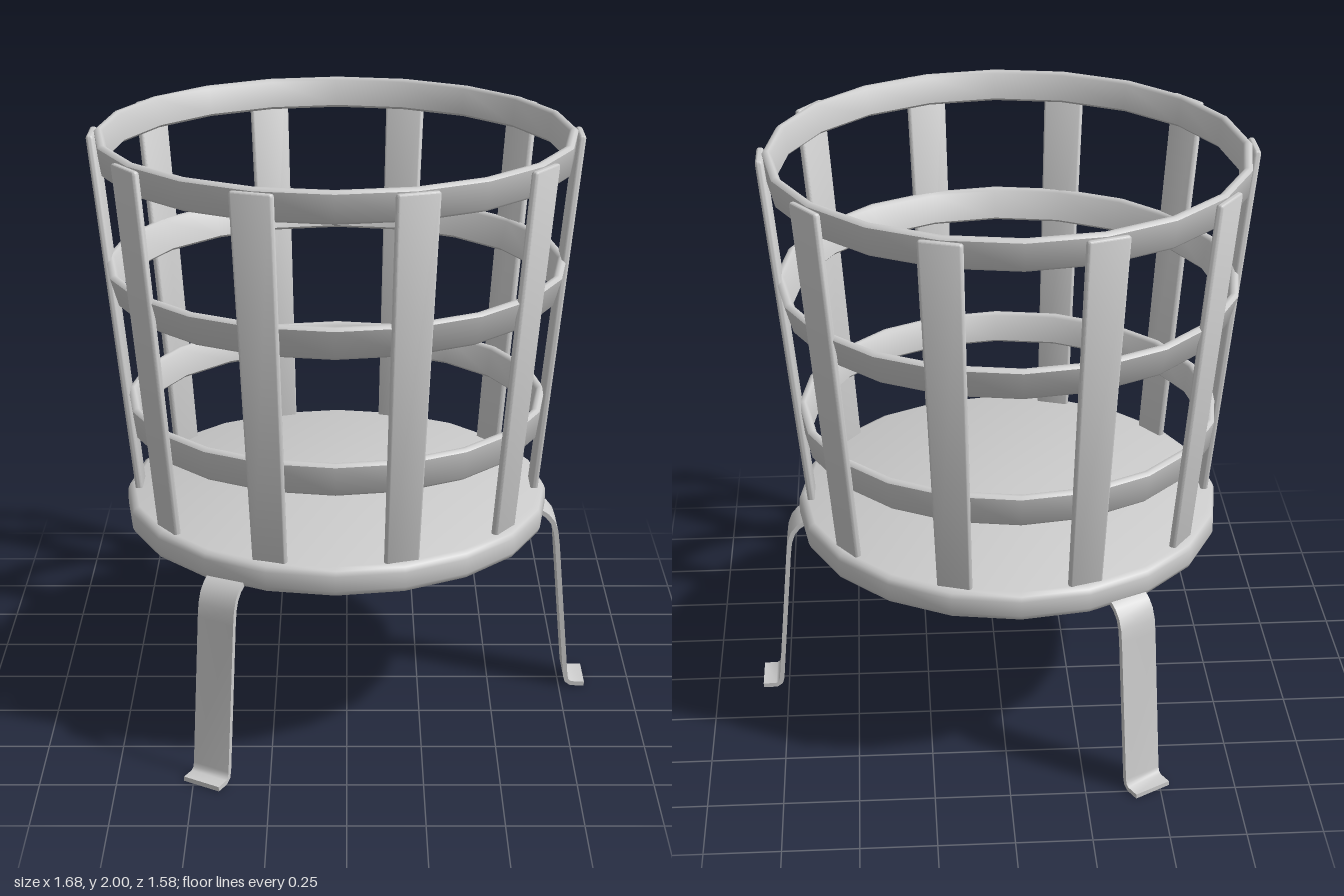
import * as THREE from 'three';
import { toCreasedNormals } from 'three/addons/utils/BufferGeometryUtils.js';
import { RoundedBoxGeometry } from 'three/addons/geometries/RoundedBoxGeometry.js';

const SIDES = 20;
const AXIS_X = -0.035; // the single side leg shifts the basket off centre
const material = new THREE.MeshStandardMaterial({ color: 0xcccccc });

function addMesh(parent, name, geometry) {
  const mesh = new THREE.Mesh(geometry, material);
  mesh.name = name;
  parent.add(mesh);
  return mesh;
}

function lathe(points) {
  const profile = points.map(([r, y]) => new THREE.Vector2(r, y));
  return toCreasedNormals(new THREE.LatheGeometry(profile, SIDES), 0.85);
}

// Flat hoop with softened edges, leaning outward with the basket
function hoopGeometry(y0, y1, r0, r1, t = 0.03) {
  const b = 0.009;
  return lathe([
    [r0 - b, y0], [r0, y0 + b], [r1, y1 - b], [r1 - b, y1],
    [r1 - t + b, y1], [r1 - t, y1 - b], [r0 - t, y0 + b], [r0 - t + b, y0], [r0 - b, y0],
  ]);
}

// Upright slat: a rounded bar tapered and leaned by height
function slatGeometry() {
  const y0 = 0.74, y1 = 1.99, t = 0.025;
  const geometry = new RoundedBoxGeometry(t, y1 - y0, 0.14, 2, 0.01);
  const p = geometry.attributes.position;
  for (let i = 0; i < p.count; i++) {
    const k = p.getY(i) / (y1 - y0) + 0.5;
    p.setXYZ(i,
      p.getX(i) + THREE.MathUtils.lerp(0.688, 0.808, k) - t / 2,
      THREE.MathUtils.lerp(y0, y1, k),
      p.getZ(i) * THREE.MathUtils.lerp(0.82, 1, k));
  }
  geometry.computeVertexNormals();
  return toCreasedNormals(geometry, 0.7);
}

// Bent strap leg: a centre line thickened both ways, then extruded across
function legGeometry() {
  const width = 0.135, half = 0.008;
  const line = [
    [0.67, 0.678], [0.7, 0.672], [0.725, 0.655], [0.745, 0.63], [0.757, 0.595], [0.763, 0.55],
    [0.808, 0.04], [0.813, 0.02], [0.828, 0.009], [0.875, 0.008],
  ].map(([x, y]) => new THREE.Vector2(x, y));
  const outer = [], inner = [];
  line.forEach((p, i) => {
    const a = line[Math.max(i - 1, 0)], b = line[Math.min(i + 1, line.length - 1)];
    const d = b.clone().sub(a).normalize().multiplyScalar(half);
    outer.push(new THREE.Vector2(p.x - d.y, Math.max(0, p.y + d.x)));
    inner.push(new THREE.Vector2(p.x + d.y, Math.max(0, p.y - d.x)));
  });
  const shape = new THREE.Shape([...outer, ...inner.reverse()]);
  const geometry = new THREE.ExtrudeGeometry(shape, { depth: width, bevelEnabled: false });
  geometry.translate(0, 0, -width / 2);
  return toCreasedNormals(geometry, 0.7);
}

export function createModel() {
  const model = new THREE.Group();
  model.name = 'fireBasket';
  const body = new THREE.Group();
  body.name = 'basketOnLegs';
  body.position.x = AXIS_X;
  model.add(body);

  // Base plate with a softened rim
  addMesh(body, 'basePlate', lathe([
    [0, 0.655], [0.695, 0.655], [0.713, 0.664], [0.72, 0.68],
    [0.72, 0.73], [0.713, 0.747], [0.695, 0.755], [0, 0.755],
  ]));

  // Hoops
  addMesh(body, 'topHoop', hoopGeometry(1.895, 2.0, 0.778, 0.788));
  addMesh(body, 'middleHoop', hoopGeometry(1.46, 1.57, 0.738, 0.765));
  addMesh(body, 'lowerHoop', hoopGeometry(0.995, 1.105, 0.694, 0.706));

  // Ten slats around the basket
  const slat = slatGeometry();
  for (let i = 0; i < 10; i++) {
    addMesh(body, 'slat', slat).rotation.y = (i * Math.PI) / 5;
  }

  // Three legs
  const leg = legGeometry();
  for (let i = 0; i < 3; i++) {
    addMesh(body, 'leg', leg).rotation.y = (i * Math.PI * 2) / 3;
  }
  return model;
}
